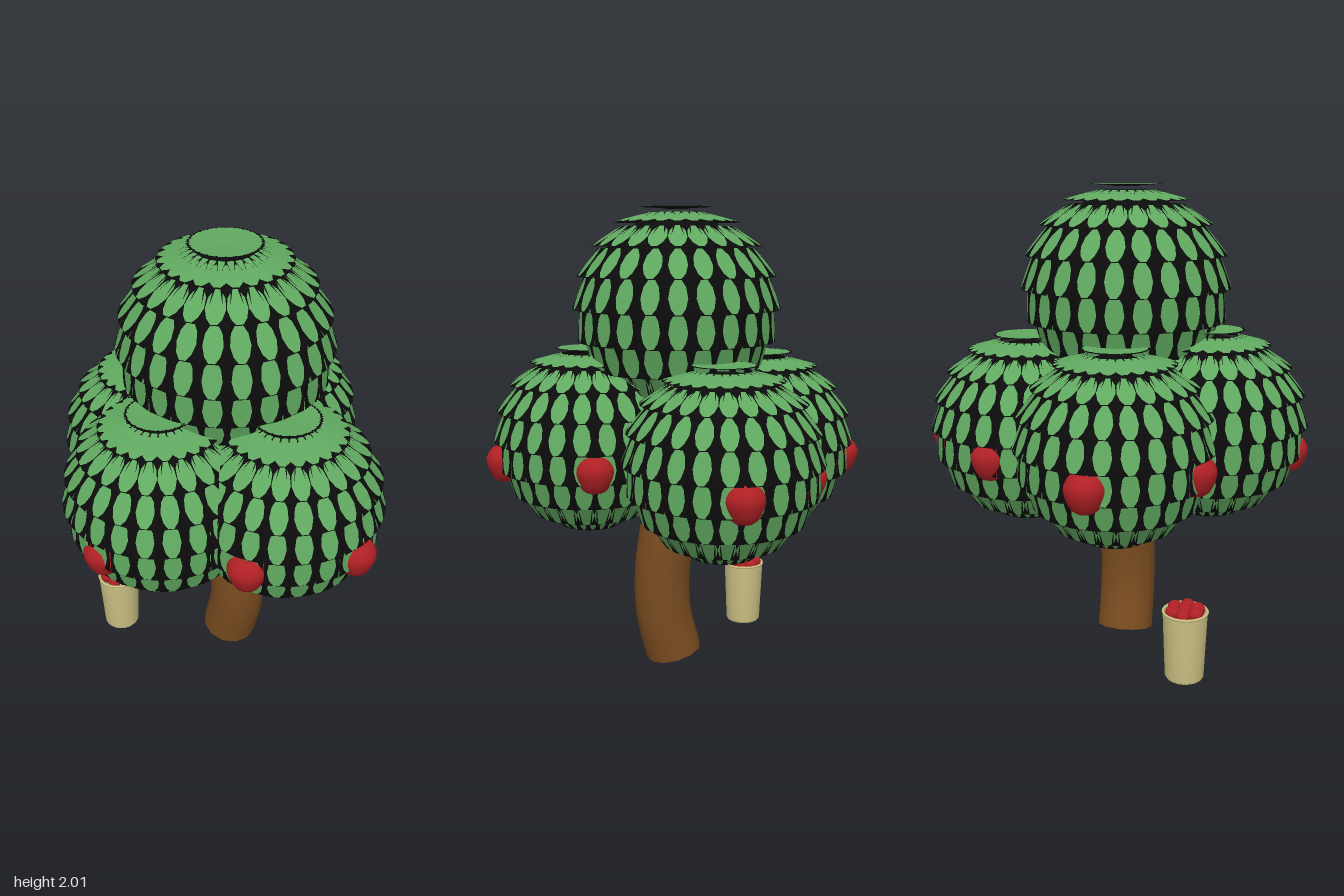
import * as THREE from 'three';
import { mergeGeometries } from 'three/addons/utils/BufferGeometryUtils.js';

const mat = (name, color, side = THREE.FrontSide) => {
  const m = new THREE.MeshStandardMaterial({ color, side });
  m.name = name;
  return m;
};

export function createModel() {
  const leafGreen = mat('leaf green', 0x60a860, THREE.DoubleSide);
  const leafDark = mat('leaf dark', 0x0b0b0b, THREE.DoubleSide);
  const bark = mat('bark brown', 0x7a4c20);
  const appleRed = mat('apple red', 0xb02024);
  const cream = mat('bucket cream', 0xc9bf82, THREE.DoubleSide);

  const model = new THREE.Group();
  model.name = 'appleTree';
  const add = (name, geo, material, parent = model) => {
    const mesh = new THREE.Mesh(geo, material);
    mesh.name = name;
    parent.add(mesh);
    return mesh;
  };

  // Trunk: a bowed tube closed at the foot
  const path = new THREE.CatmullRomCurve3([
    [0.015, 0.01], [0.06, 0.2], [0.065, 0.4], [0.035, 0.62], [0, 0.8],
  ].map(([x, y]) => new THREE.Vector3(x, y, 0.025)));
  add('trunk', new THREE.TubeGeometry(path, 16, 0.125, 12), bark);
  const foot = add('trunkFoot', new THREE.CircleGeometry(0.125, 12), bark);
  foot.position.copy(path.getPoint(0));
  foot.lookAt(foot.position.clone().sub(path.getTangent(0)));

  // Foliage ball: rings of tilted dark shingles, each carrying a green leaf
  const ROWS = 10, COLS = 24, TILT = 0.21;
  function foliage(name, x, y, z, r) {
    const group = new THREE.Group();
    group.name = name;
    group.position.set(x, y, z);
    model.add(group);

    const w = r * 0.25, h = r * 0.36;
    const plate = new THREE.PlaneGeometry(w, h);
    const s = new THREE.Shape();
    s.moveTo(-w * 0.1, h * 0.49);
    s.lineTo(-w * 0.3, h * 0.25);
    s.lineTo(-w * 0.37, -h * 0.05);
    s.lineTo(-w * 0.28, -h * 0.32);
    s.lineTo(-w * 0.12, -h * 0.48);
    s.lineTo(w * 0.12, -h * 0.48);
    s.lineTo(w * 0.28, -h * 0.32);
    s.lineTo(w * 0.37, -h * 0.05);
    s.lineTo(w * 0.3, h * 0.25);
    s.lineTo(w * 0.1, h * 0.49);
    const leaf = new THREE.ShapeGeometry(s).translate(0, 0, 0.002);

    const plates = [], leaves = [];
    const m = new THREE.Matrix4(), t = new THREE.Matrix4();
    for (let i = 0; i < ROWS; i++) {
      const a = (i + 0.5) * Math.PI / ROWS;
      for (let j = 0; j < COLS; j++) {
        m.makeRotationY((j + 0.5) * 2 * Math.PI / COLS);
        m.multiply(t.makeTranslation(0, r * Math.cos(a), r * Math.sin(a)));
        m.multiply(t.makeRotationX(a - Math.PI / 2 - TILT));
        plates.push(plate.clone().applyMatrix4(m));
        leaves.push(leaf.clone().applyMatrix4(m));
      }
    }
    add('leafBacking', mergeGeometries(plates), leafDark, group);
    add('leaves', mergeGeometries(leaves), leafGreen, group);
    add('foliageCore', new THREE.SphereGeometry(r * 0.93, 24, 16), leafDark, group);
  }
  foliage('topFoliage', 0, 1.57, 0.03, 0.42);
  foliage('leftFoliage', 0.38, 1.01, 0.08, 0.39);
  foliage('rightFoliage', -0.385, 0.98, 0.08, 0.39);
  foliage('frontFoliage', 0, 1.01, 0.4, 0.39);
  foliage('backFoliage', -0.13, 0.98, -0.375, 0.39);

  // Apple: lathe with a dimple at both ends, narrower below
  const profile = new THREE.SplineCurve([
    [0, -0.82], [0.25, -0.95], [0.65, -0.75], [0.95, -0.1],
    [0.98, 0.4], [0.65, 0.88], [0.3, 0.93], [0, 0.72],
  ].map(([x, y]) => new THREE.Vector2(x, y))).getPoints(14)
    .map((p) => new THREE.Vector2(Math.max(p.x, 0), p.y));
  const appleGeo = new THREE.LatheGeometry(profile, 16);
  const apple = (name, x, y, z, r) => {
    const a = add(name, appleGeo, appleRed);
    a.position.set(x, y, z);
    a.scale.setScalar(r);
  };
  [
    [-0.755, 0.895, 0.06], [-0.48, 0.905, 0.425], [0.01, 0.885, 0.735],
    [0.5, 0.905, 0.425], [0.745, 0.905, 0.06], [0.38, 0.92, -0.275],
    [-0.14, 0.9, -0.73], [-0.465, 0.9, -0.42],
  ].forEach((p) => apple('apple', ...p, 0.081));

  // Bucket with a rolled rim, filled with small apples
  const bucket = new THREE.Group();
  bucket.name = 'bucket';
  bucket.position.set(-0.385, 0, 0.375);
  model.add(bucket);
  add('bucketWall', new THREE.LatheGeometry([
    [0.074, 0.003], [0.081, 0.012], [0.093, 0.295], [0.087, 0.295], [0.076, 0.03],
  ].map(([x, y]) => new THREE.Vector2(x, y)), 24), cream, bucket);
  const base = add('bucketBase', new THREE.CircleGeometry(0.075, 24), cream, bucket);
  base.rotation.x = Math.PI / 2;
  base.position.y = 0.003;
  const rim = add('bucketRim', new THREE.TorusGeometry(0.091, 0.006, 8, 24), cream, bucket);
  rim.rotation.x = Math.PI / 2;
  rim.position.y = 0.294;
  apple('bucketApple', -0.385, 0.297, 0.375, 0.03);
  for (let i = 0; i < 6; i++) {
    const a = i * Math.PI / 3;
    apple('bucketApple', -0.385 + 0.055 * Math.cos(a), 0.292, 0.375 + 0.055 * Math.sin(a), 0.03);
  }
  return model;
}
